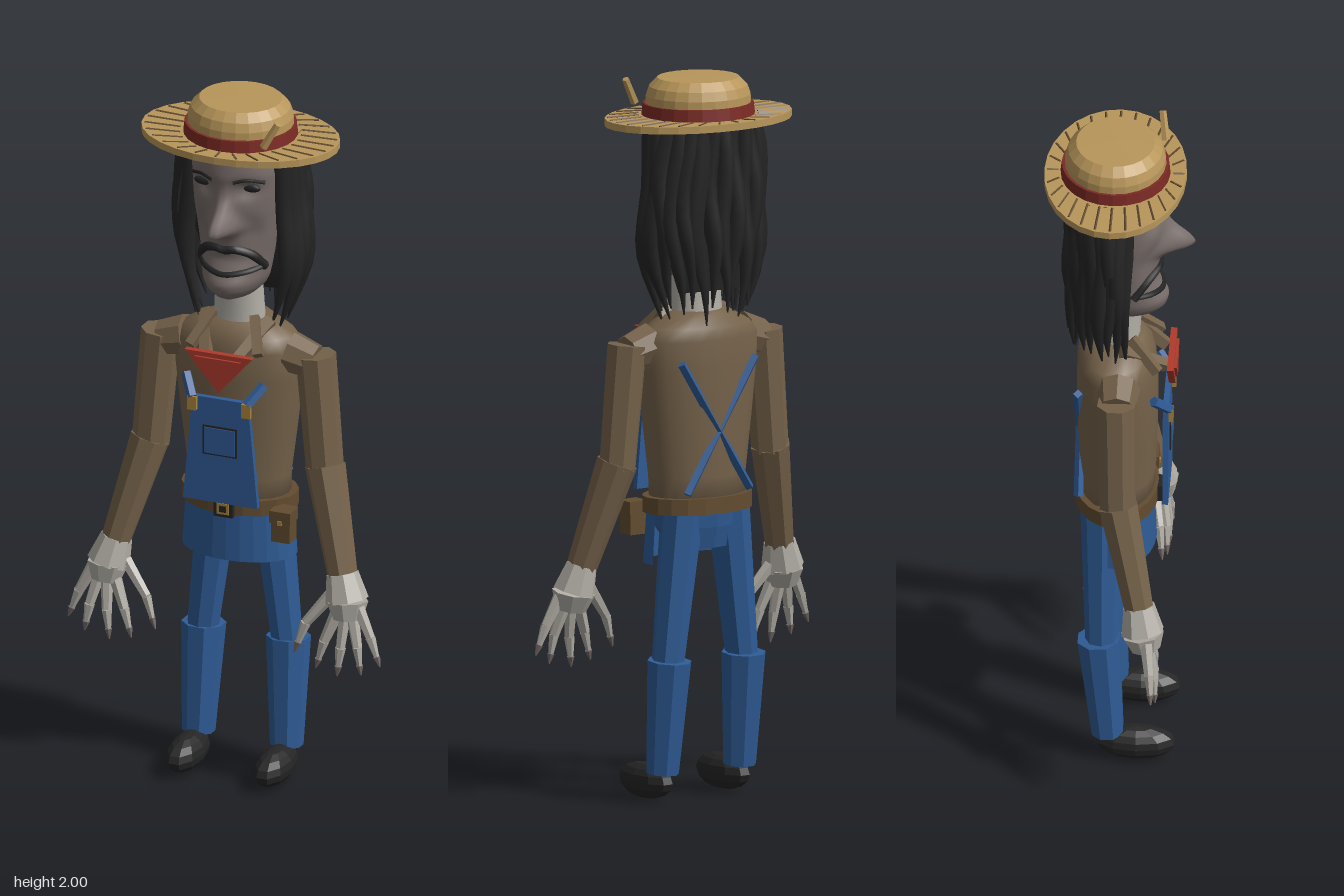
import * as THREE from 'three';

const mat = (name, color, double) => {
  const m = new THREE.MeshStandardMaterial({ color });
  m.name = name;
  if (double) m.side = THREE.DoubleSide;
  return m;
};
const straw = mat('straw', 0xb8965a);
const bandRed = mat('hat band red', 0x7c2a24);
const red = mat('bandana red', 0xae3a2c);
const denim = mat('denim blue', 0x2f5c96, true);
const shirt = mat('shirt brown', 0x75624a);
const leather = mat('leather brown', 0x634c30);
const bone = mat('pale grey', 0xb2aea6);
const skin = mat('grey skin', 0x776c69);
const black = mat('black', 0x252525);
const gold = mat('brass', 0xa8843c);

const V = (x, y, z) => new THREE.Vector3(x, y, z);
const UP = V(0, 1, 0);

function flat(geo) {
  const g = geo.index ? geo.toNonIndexed() : geo;
  g.computeVertexNormals();
  return g;
}

function add(parent, name, geo, material) {
  const m = new THREE.Mesh(geo, material);
  m.name = name;
  parent.add(m);
  return m;
}

function box(parent, name, material, size, pos, rotZ = 0) {
  const m = add(parent, name, new THREE.BoxGeometry(...size), material);
  m.position.set(...pos);
  m.rotation.z = rotZ;
  return m;
}

// Tapered faceted bar from a (radius r1) to b (radius r2)
function limb(parent, name, material, a, b, r1, r2, sides = 8) {
  const d = b.clone().sub(a);
  const m = add(parent, name, flat(new THREE.CylinderGeometry(r2, r1, d.length(), sides)), material);
  m.position.copy(a).add(b).multiplyScalar(0.5);
  m.quaternion.setFromUnitVectors(UP, d.normalize());
  return m;
}

// Closed loft of rings; ringPoint(row, angle) gives each vertex, rows run upward
function loft(rows, n, ringPoint) {
  const pos = [], idx = [];
  rows.forEach((r, i) => {
    for (let j = 0; j < n; j++) {
      pos.push(...ringPoint(r, (j / n) * Math.PI * 2));
      if (i < rows.length - 1) {
        const a = i * n + j, b = i * n + (j + 1) % n;
        idx.push(a, b, b + n, a, b + n, a + n);
      }
    }
  });
  const g = new THREE.BufferGeometry();
  g.setAttribute('position', new THREE.Float32BufferAttribute(pos, 3));
  g.setIndex(idx);
  g.computeVertexNormals();
  return g;
}
// Row = [y, half width, half depth, centre z]
const oval = ([y, rx, rz, zc], a) => [Math.sin(a) * rx, y, zc + Math.cos(a) * rz];

// Tube along points whose radius shrinks to a point at the end
function strand(points, r, segs = 12, sides = 6) {
  const curve = new THREE.CatmullRomCurve3(points);
  const g = new THREE.TubeGeometry(curve, segs, r, sides);
  const p = g.attributes.position, v = new THREE.Vector3();
  for (let i = 0; i < p.count; i++) {
    const t = Math.floor(i / (sides + 1)) / segs;
    const c = curve.getPointAt(t);
    v.fromBufferAttribute(p, i).sub(c).multiplyScalar(t < 0.6 ? 1 : 1 - (t - 0.6) * 2.3).add(c);
    p.setXYZ(i, v.x, v.y, v.z);
  }
  g.computeVertexNormals();
  return g;
}

// Head profile rows: y, half width, front z, back z
const HEAD = [[1.425, 0, 0.06, 0], [1.44, 0.055, 0.1, 0.02], [1.465, 0.08, 0.125, 0.04], [1.49, 0.092, 0.132, 0.05],
  [1.52, 0.098, 0.115, 0.06], [1.56, 0.104, 0.098, 0.08], [1.62, 0.113, 0.108, 0.1], [1.7, 0.122, 0.118, 0.11],
  [1.75, 0.126, 0.118, 0.11], [1.81, 0.128, 0.125, 0.11], [1.9, 0.115, 0.115, 0.1]];
function headRow(y) {
  const i = Math.max(1, HEAD.findIndex((r) => r[0] >= y - 1e-9));
  const a = HEAD[i - 1], b = HEAD[i], t = (y - a[0]) / (b[0] - a[0]);
  return a.map((v, k) => v + (b[k] - v) * t);
}
const bump = (d, s) => Math.exp(-(d * d) / (s * s));
function relief(x, y) {
  const nose = 0.09 * bump(x, 0.016 + 0.018 * bump(y - 1.66, 0.04)) * bump(y - 1.662, y > 1.662 ? 0.065 : 0.022);
  const sockets = -0.022 * bump(Math.abs(x) - 0.06, 0.035) * bump(y - 1.775, 0.028);
  const cheeks = -0.014 * bump(Math.abs(x) - 0.075, 0.03) * bump(y - 1.64, 0.05);
  return nose + sockets + cheeks;
}
function faceZ(x, y) {
  const [, w, zf] = headRow(y);
  return zf * Math.sqrt(Math.max(0, 1 - (x / w) ** 2)) + relief(x, y);
}

function buildHead(g) {
  const rows = [];
  for (let i = 0; i <= 48; i++) rows.push(headRow(1.425 + (i / 48) * 0.475));
  add(g, 'face', loft(rows, 56, ([y, w, zf, zb], a) => {
    const x = w * Math.sin(a), c = Math.cos(a);
    return [x, y, c > 0 ? zf * c + relief(x, y) : zb * c];
  }), skin);
  add(g, 'neck', loft([[1.28, 0.088, 0.07, -0.01], [1.36, 0.072, 0.062, -0.01], [1.5, 0.066, 0.06, 0]], 12, oval), bone);

  // Drooping moustache and the line of beard under it
  const arc = (pts) => new THREE.CatmullRomCurve3(pts.map(([x, y]) => V(x, y, faceZ(x, y))));
  add(g, 'moustache', new THREE.TubeGeometry(arc([[-0.094, 1.53], [-0.07, 1.575], [-0.03, 1.594], [0, 1.59],
    [0.03, 1.594], [0.07, 1.575], [0.094, 1.53]]), 24, 0.013, 6), black);
  add(g, 'beard', new THREE.TubeGeometry(arc([[-0.094, 1.535], [-0.06, 1.528], [0, 1.52], [0.06, 1.528], [0.094, 1.535]]), 20, 0.009, 6), black);

  for (const s of [-1, 1]) {
    const eye = add(g, 'eye', new THREE.SphereGeometry(1, 12, 8), black);
    eye.scale.set(0.03, 0.013, 0.01);
    eye.position.set(s * 0.068, 1.778, faceZ(0.068, 1.778));
    add(g, 'brow', new THREE.TubeGeometry(arc([0.03, 0.065, 0.105].map((x, i) => [s * x, 1.8 + [0, 0.008, -0.006][i]])), 8, 0.006, 5), black);
  }
}

function buildHair(g) {
  let seed = 7;
  const rnd = () => (seed = (seed * 16807) % 2147483647) / 2147483647;
  add(g, 'hairMass', loft([[1.42, 0, 0, -0.09], [1.42, 0.12, 0.03, -0.09], [1.6, 0.155, 0.07, -0.055], [1.8, 0.15, 0.08, -0.05],
    [1.88, 0.14, 0.08, -0.05]], 20, oval), black);
  const count = 19;
  for (let i = 0; i < count; i++) {
    const a = (i / (count - 1) - 0.5) * 4.3, side = Math.abs(Math.sin(a));
    const end = 1.32 + 0.06 * rnd(), ph = rnd() * 6;
    const pts = [];
    for (let k = 0; k <= 6; k++) {
      const t = k / 6;
      const out = 0.145 + 0.04 * Math.sin(t * Math.PI * 0.9) * (0.5 + side * 0.5) - 0.025 * t * t;
      const w = 0.008 * Math.sin(t * 9 + ph);
      pts.push(V(Math.sin(a) * out + w, 1.89 + (end - 1.89) * t, -0.035 - Math.cos(a) * 0.088 + w * 0.6 - 0.02 * t * Math.max(0, Math.cos(a))));
    }
    add(g, 'hairStrand', strand(pts, 0.027), black);
  }
}

function buildHat(g) {
  const hat = new THREE.Group();
  hat.name = 'hat';
  hat.position.z = -0.016;
  g.add(hat);
  const brim = add(hat, 'brim', flat(new THREE.CylinderGeometry(0.283, 0.283, 0.02, 28)), straw);
  brim.position.y = 1.886;
  brim.scale.z = 0.69;
  const profile = [[0.15, 1.89], [0.147, 1.95], [0.138, 1.975], [0.115, 1.998], [0, 2]].map((p) => new THREE.Vector2(...p));
  add(hat, 'crown', flat(new THREE.LatheGeometry(profile, 24)), straw).scale.z = 0.94;
  const band = add(hat, 'hatBand', flat(new THREE.CylinderGeometry(0.155, 0.159, 0.035, 24)), bandRed);
  band.position.y = 1.911;
  band.scale.z = 0.95;
  // Woven ribs on the brim
  for (let i = 0; i < 28; i++) {
    const a = (i / 28) * Math.PI * 2, c = Math.cos(a), s = Math.sin(a);
    limb(hat, 'brimRib', leather, V(c * 0.168, 1.896, s * 0.157), V(c * 0.274, 1.896, s * 0.188), 0.0035, 0.0035, 4);
  }
  limb(hat, 'strawSprig', straw, V(0.12, 1.92, 0.13), V(0.158, 1.99, 0.12), 0.012, 0.01, 5);
}

function buildBody(g) {
  add(g, 'shirtTorso', loft([[0.8, 0, 0, -0.01], [0.8, 0.145, 0.1, -0.01], [0.9, 0.148, 0.105, -0.01], [1.05, 0.168, 0.11, -0.01],
    [1.2, 0.185, 0.112, -0.01], [1.28, 0.188, 0.108, -0.012], [1.315, 0.16, 0.1, -0.015], [1.355, 0.085, 0.08, -0.015],
    [1.355, 0, 0, -0.015]], 20, oval), shirt);
  add(g, 'belt', flat(loft([[0.8, 0.13, 0.09, -0.012], [0.8, 0.167, 0.115, -0.012], [0.845, 0.167, 0.115, -0.012],
    [0.845, 0.13, 0.09, -0.012]], 20, oval)), leather);
  box(g, 'buckle', black, [0.056, 0.05, 0.016], [0, 0.82, 0.106]);
  box(g, 'buckleFrame', gold, [0.036, 0.032, 0.02], [0, 0.82, 0.107]);
  box(g, 'buckleCentre', black, [0.02, 0.018, 0.024], [0, 0.82, 0.107]);
  box(g, 'pouch', leather, [0.055, 0.08, 0.05], [0.16, 0.775, 0.065]);
  box(g, 'pouchFlap', leather, [0.062, 0.035, 0.058], [0.16, 0.81, 0.066]);
  box(g, 'pouchStud', gold, [0.012, 0.012, 0.008], [0.16, 0.795, 0.095]);

  // Overalls: hips, front apron, bib and straps
  add(g, 'hips', flat(loft([[0.69, 0, 0, -0.03], [0.7, 0.1, 0.06, -0.03], [0.76, 0.14, 0.085, -0.02], [0.81, 0.15, 0.1, -0.012]], 12, oval)), denim);
  const apron = add(g, 'apron', flat(new THREE.CylinderGeometry(0.155, 0.165, 0.15, 14, 1, true, -1.75, 3.5)), denim);
  apron.position.set(0, 0.735, -0.01);
  apron.scale.z = 0.65;
  const poly = (pts, depth) => new THREE.ExtrudeGeometry(new THREE.Shape(pts.map((p) => new THREE.Vector2(...p))), { depth, bevelEnabled: false });
  add(g, 'bib', poly([[-0.11, 0.845], [0.11, 0.845], [0.082, 1.155], [-0.082, 1.155]], 0.016), denim).position.z = 0.118;
  box(g, 'bibPocketEdge', black, [0.1, 0.086, 0.006], [0, 1.03, 0.135]);
  box(g, 'bibPocket', denim, [0.09, 0.076, 0.01], [0, 1.03, 0.136]);
  for (const s of [-1, 1]) {
    box(g, 'strapBuckle', gold, [0.026, 0.04, 0.012], [s * 0.08, 1.135, 0.14]);
    limb(g, 'frontStrap', denim, V(s * 0.08, 1.15, 0.138), V(s * 0.115, 1.2, 0.095), 0.015, 0.015, 5);
    limb(g, 'backStrap', denim, V(s * 0.125, 1.225, -0.112), V(-s * 0.105, 0.86, -0.112), 0.013, 0.013, 4);
    limb(g, 'collar', shirt, V(s * 0.095, 1.35, 0), V(s * 0.045, 1.275, 0.125), 0.024, 0.02, 4);
    limb(g, 'lapel', shirt, V(s * 0.06, 1.37, 0.03), V(s * 0.1, 1.29, 0.105), 0.018, 0.018, 4);
  }
  add(g, 'bandana', poly([[-0.1, 1.295], [0, 1.18], [0.1, 1.295]].reverse(), 0.018), red).position.z = 0.13;
  add(g, 'bandanaFold', poly([[-0.068, 1.282], [0, 1.202], [0.068, 1.282]].reverse(), 0.008), red).position.z = 0.147;
}

function buildArm(g, s) {
  const p = (x, y, z) => V(s * x, y, z);
  const shoulder = p(0.228, 1.275, 0), elbow = p(0.258, 0.93, 0.005), wrist = p(0.336, 0.65, 0.068);
  limb(g, 'shoulder', shirt, p(0.15, 1.27, 0), p(0.225, 1.25, 0), 0.06, 0.05);
  limb(g, 'upperArm', shirt, shoulder, elbow, 0.056, 0.052);
  limb(g, 'forearm', shirt, elbow.clone().add(V(0, 0.02, 0)), wrist, 0.057, 0.042);
  limb(g, 'gloveCuff', bone, p(0.333, 0.665, 0.066), p(0.352, 0.59, 0.078), 0.044, 0.06);
  limb(g, 'palm', bone, p(0.352, 0.59, 0.078), p(0.356, 0.54, 0.086), 0.06, 0.042);
  // Each finger: base, knuckle, tip; the last is the thumb
  const fingers = [
    [[0.39, 0.58, 0.09], [0.43, 0.5, 0.1], [0.46, 0.42, 0.106]],
    [[0.372, 0.56, 0.09], [0.395, 0.47, 0.11], [0.408, 0.39, 0.115]],
    [[0.352, 0.56, 0.09], [0.345, 0.46, 0.108], [0.336, 0.375, 0.112]],
    [[0.33, 0.56, 0.09], [0.295, 0.47, 0.105], [0.272, 0.388, 0.11]],
    [[0.305, 0.6, 0.07], [0.235, 0.51, 0.09], [0.205, 0.42, 0.1]],
  ];
  for (const f of fingers) {
    const [a, b, c] = f.map((q) => p(...q));
    const nail = b.clone().lerp(c, 0.65);
    limb(g, 'finger', bone, a, b, 0.019, 0.014, 6);
    limb(g, 'fingerTip', bone, b, nail, 0.015, 0.008, 6);
    limb(g, 'claw', skin, nail, c, 0.011, 0.002, 6);
  }
}

function buildLeg(g, s) {
  limb(g, 'thigh', denim, V(s * 0.078, 0.8, -0.048), V(s * 0.125, 0.38, -0.047), 0.06, 0.045);
  limb(g, 'shin', denim, V(s * 0.125, 0.395, -0.055), V(s * 0.13, 0.08, -0.03), 0.062, 0.046);
  const boot = add(g, 'boot', flat(new THREE.SphereGeometry(1, 10, 8)), black);
  boot.scale.set(0.049, 0.05, 0.11);
  boot.position.set(s * 0.13, 0.05, 0.048);
}

export function createModel() {
  const model = new THREE.Group();
  model.name = 'strawHatFigure';
  const part = (name, build, ...args) => {
    const g = new THREE.Group();
    g.name = name;
    build(g, ...args);
    model.add(g);
  };
  part('head', buildHead);
  part('hair', buildHair);
  part('headwear', buildHat);
  part('body', buildBody);
  part('leftArm', buildArm, 1);
  part('rightArm', buildArm, -1);
  part('leftLeg', buildLeg, 1);
  part('rightLeg', buildLeg, -1);
  return model;
}
